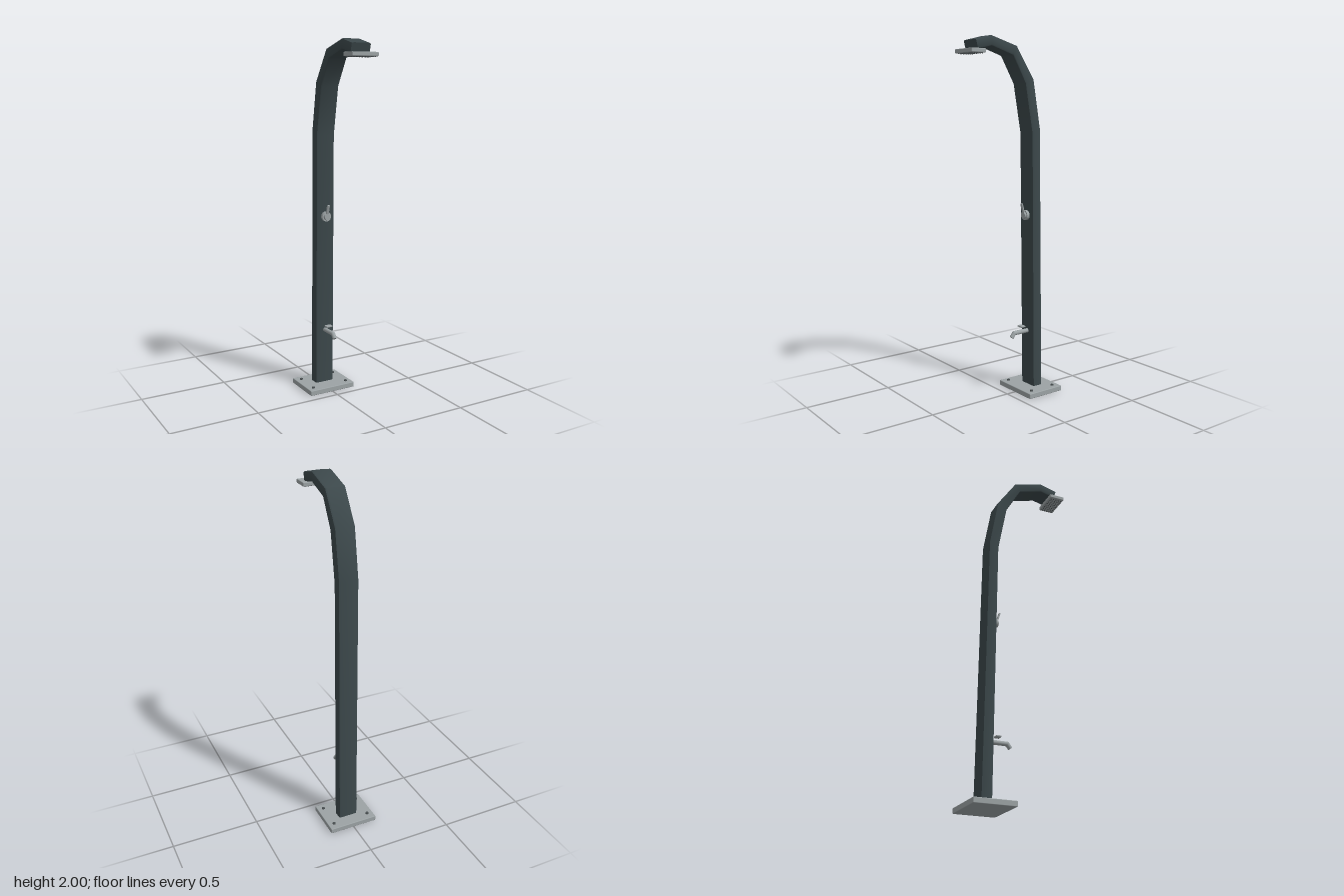
import * as THREE from 'three';
import { toCreasedNormals } from 'three/addons/utils/BufferGeometryUtils.js';
import { RoundedBoxGeometry } from 'three/addons/geometries/RoundedBoxGeometry.js';

const steel = new THREE.MeshStandardMaterial({ name: 'brushed steel', color: 0x9ca3a5 });
const anthracite = new THREE.MeshStandardMaterial({ name: 'anthracite', color: 0x3c484b });
const rubber = new THREE.MeshStandardMaterial({ name: 'dark rubber', color: 0x4a5052 });

// Rounded rectangular tube, lofted between front/inner and back/outer edges
function postGeometry() {
  // [inner z, inner y, outer z, outer y]
  const stations = [
    [-0.149, 0.025, -0.211, 0.025],
    [-0.131, 1.484, -0.188, 1.51],
    [-0.082, 1.755, -0.141, 1.78],
    [0.003, 1.902, -0.025, 1.953],
    [0.14, 1.945, 0.14, 2.0],
    [0.229, 1.924, 0.242, 1.975],
  ];
  const halfW = 0.057, depth = 0.06, r = 0.01;
  const section = [];
  [[1, 0], [1, 1], [-1, 1], [-1, 0]].forEach(([sx, v], corner) => {
    for (let k = 0; k < 3; k++) {
      const a = (corner - 1) * Math.PI / 2 + k * Math.PI / 4;
      section.push([
        sx * (halfW - r) + r * Math.cos(a),
        ((v ? depth - r : r) + r * Math.sin(a)) / depth,
      ]);
    }
  });
  const n = section.length, pos = [], idx = [];
  for (const [iz, iy, oz, oy] of stations)
    for (const [x, v] of section) pos.push(x, iy + (oy - iy) * v, iz + (oz - iz) * v);
  for (let i = 0; i < stations.length - 1; i++)
    for (let j = 0; j < n; j++) {
      const a = i * n + j, b = i * n + (j + 1) % n;
      idx.push(a, b, b + n, a, b + n, a + n);
    }
  // end caps
  const last = (stations.length - 1) * n;
  for (let j = 1; j < n - 1; j++) {
    idx.push(0, j + 1, j);
    idx.push(last, last + j, last + j + 1);
  }
  const g = new THREE.BufferGeometry();
  g.setAttribute('position', new THREE.Float32BufferAttribute(pos, 3));
  g.setIndex(idx);
  return toCreasedNormals(g, 0.75);
}

export function createModel() {
  const model = new THREE.Group();
  model.name = 'outdoorShower';
  const add = (name, geometry, material, x, y, z, parent = model) => {
    const m = new THREE.Mesh(geometry, material);
    m.name = name;
    m.position.set(x, y, z);
    parent.add(m);
    return m;
  };

  add('curvedPost', postGeometry(), anthracite, 0, 0, 0);

  // Base plate with four bolts
  add('basePlate', new RoundedBoxGeometry(0.287, 0.03, 0.232, 2, 0.004), steel, 0, 0.015, -0.169);
  const bolt = new THREE.CylinderGeometry(0.009, 0.009, 0.008, 12);
  for (const x of [-0.108, 0.108])
    for (const z of [-0.243, -0.092]) add('baseBolt', bolt, rubber, x, 0.032, z);

  // Shower head with a grid of nozzles underneath
  const head = new THREE.Group();
  head.name = 'showerHead';
  head.position.set(0, 1.918, 0.239);
  model.add(head);
  add('headPlate', new RoundedBoxGeometry(0.158, 0.022, 0.09, 2, 0.004), steel, 0, 0, 0, head);
  const nozzle = new THREE.CylinderGeometry(0.0045, 0.0035, 0.006, 8);
  for (let i = 0; i < 8; i++)
    for (let j = 0; j < 5; j++)
      add('nozzle', nozzle, rubber, (i - 3.5) * 0.018, -0.012, (j - 2) * 0.016, head);

  // Mixer valve: round body and tilted lever
  const valve = new THREE.Group();
  valve.name = 'mixerValve';
  valve.position.set(0, 1.027, -0.13);
  model.add(valve);
  add('valveBody', new THREE.CylinderGeometry(0.028, 0.028, 0.025, 20), steel, 0, 0, -0.002, valve).rotation.x = Math.PI / 2;
  add('valveCap', new THREE.CylinderGeometry(0.018, 0.022, 0.014, 20), steel, 0, 0, 0.013, valve).rotation.x = Math.PI / 2;
  add('valveLever', new RoundedBoxGeometry(0.017, 0.075, 0.009, 2, 0.003), steel, 0, 0.032, 0.02, valve).rotation.x = 0.28;

  // Foot tap: straight pipe, angled spout and a flat handle above
  const tap = new THREE.Group();
  tap.name = 'footTap';
  tap.position.set(0, 0.352, 0);
  model.add(tap);
  add('tapPipe', new THREE.CylinderGeometry(0.0125, 0.0125, 0.103, 14), steel, 0, 0, -0.1, tap).rotation.x = Math.PI / 2;
  add('tapElbow', new THREE.SphereGeometry(0.0125, 14, 10), steel, 0, 0, -0.0495, tap);
  add('tapSpout', new THREE.CylinderGeometry(0.0125, 0.0125, 0.03, 14), steel, 0, -0.0115, -0.0405, tap).rotation.x = -0.66;
  add('tapHandle', new RoundedBoxGeometry(0.038, 0.009, 0.03, 2, 0.003), steel, 0, 0.032, -0.103, tap);

  return model;
}
